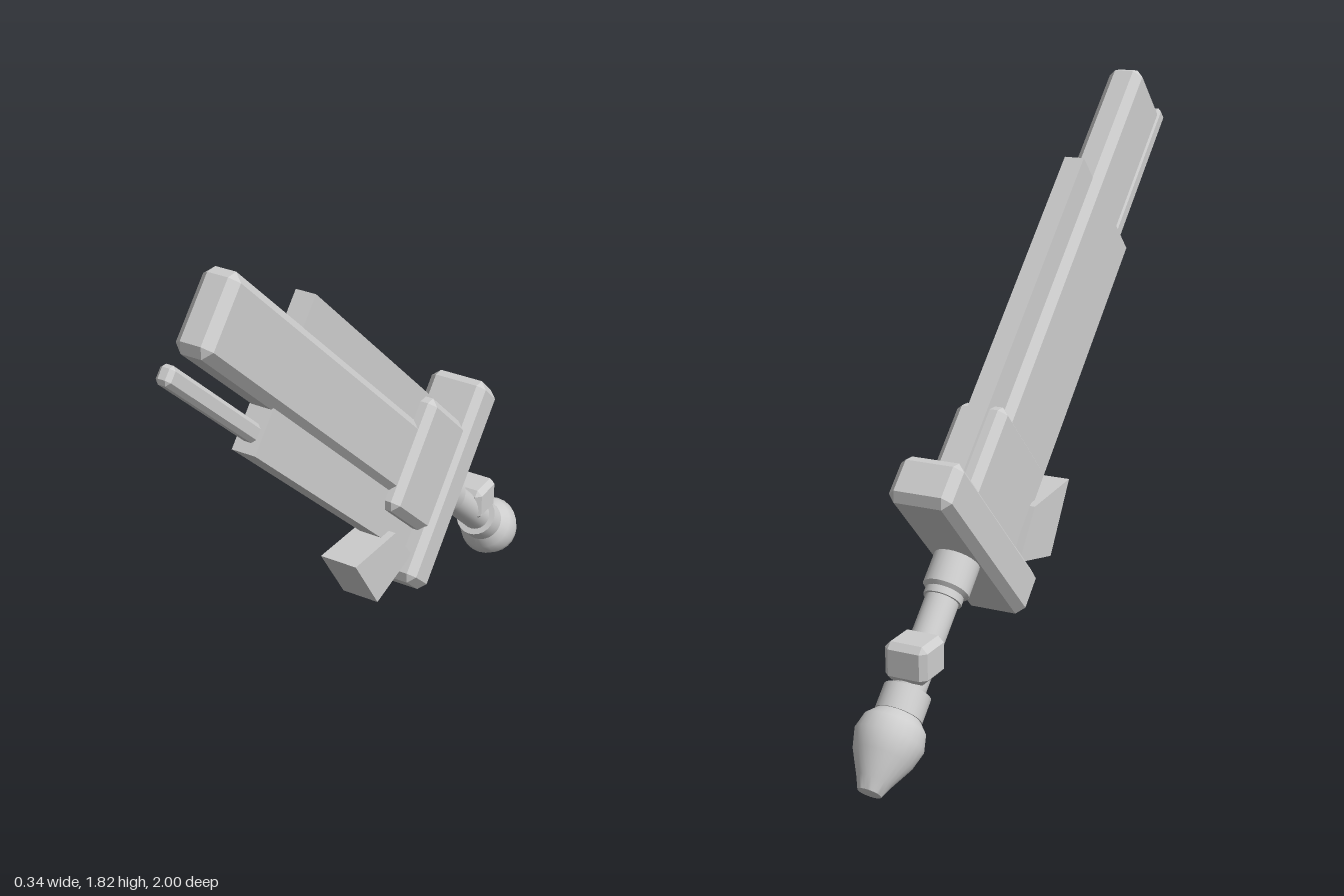
import * as THREE from 'three';
import { toCreasedNormals } from 'three/addons/utils/BufferGeometryUtils.js';
import { ConvexGeometry } from 'three/addons/geometries/ConvexGeometry.js';

const AXIS_X = 0.02;   // sword centre line in the tilted frame
const AXIS_Z = -0.705;

export function createModel() {
  const model = new THREE.Group();
  model.name = 'sword';
  const steel = new THREE.MeshStandardMaterial({ color: 0xcccccc });
  steel.name = 'light grey';

  // Upright sword, tipped forward and turned slightly
  const sword = new THREE.Group();
  sword.name = 'tiltedSword';
  sword.rotation.set(0.803, 0.105, 0, 'YXZ');
  model.add(sword);

  const add = (name, geometry) => {
    const mesh = new THREE.Mesh(geometry, steel);
    mesh.name = name;
    sword.add(mesh);
    return mesh;
  };

  // Box with every edge chamfered by c
  const chamferBox = (w, h, d, c) => {
    const points = [];
    for (const sx of [-1, 1]) for (const sy of [-1, 1]) for (const sz of [-1, 1]) {
      for (let k = 0; k < 3; k++) {
        points.push(new THREE.Vector3(
          sx * (w / 2 - (k === 0 ? 0 : c)),
          sy * (h / 2 - (k === 1 ? 0 : c)),
          sz * (d / 2 - (k === 2 ? 0 : c))));
      }
    }
    return new ConvexGeometry(points);
  };

  // Part given by width, length range and depth range
  const block = (name, width, y0, y1, z0, z1, chamfer) => {
    const h = y1 - y0, d = z1 - z0;
    const geometry = chamfer
      ? chamferBox(width, h, d, chamfer)
      : new THREE.BoxGeometry(width, h, d);
    const mesh = add(name, geometry);
    mesh.position.set(AXIS_X, (y0 + y1) / 2, (z0 + z1) / 2);
    return mesh;
  };

  // Blade
  block('mainBlade', 0.115, 0.1, 1.793, -0.82, -0.578, 0.026);
  block('backPlank', 0.065, 0.1, 1.336, -0.918, -0.8);
  block('frontPlank', 0.075, 0.1, 1.336, -0.6, -0.443);
  block('thinRod', 0.046, 1.2, 1.858, -0.531, -0.475, 0.012);

  // Guard and the collar above it
  block('collar', 0.165, 0.1, 0.452, -0.905, -0.525, 0.024);
  block('guard', 0.2, 0.028, 0.178, -1.058, -0.355, 0.025);

  // Wedge in front of the guard, outlined in the side plane
  const outline = [[0.532, -0.316], [0.344, -0.475], [0.167, -0.446], [0.288, -0.256]];
  const wedge = [];
  for (const x of [-0.062, 0.062]) {
    for (const [y, z] of outline) wedge.push(new THREE.Vector3(x, y, z));
  }
  add('wedge', new ConvexGeometry(wedge)).position.x = AXIS_X;

  // Turned handle parts, profiles run upwards as [radius, height]
  const turned = (name, profile, crease) => {
    const lathe = new THREE.LatheGeometry(profile.map(([r, y]) => new THREE.Vector2(r, y)), 24);
    add(name, toCreasedNormals(lathe, crease)).position.set(AXIS_X, 0, AXIS_Z);
  };
  turned('grip', [[0.05, -0.43], [0.05, 0.05]], 0.5);
  turned('upperRing', [[0, -0.1], [0.058, -0.1], [0.058, -0.078], [0.07, -0.068], [0.07, 0.04]], 0.5);
  turned('lowerRing', [[0, -0.462], [0.07, -0.462], [0.07, -0.388], [0, -0.388]], 0.5);
  turned('pommel', [[0, -0.697], [0.035, -0.693], [0.052, -0.657], [0.088, -0.59],
    [0.103, -0.535], [0.092, -0.49], [0.062, -0.458]], 0.8);

  // Small level block behind the grip
  const lug = add('gripLug', chamferBox(0.135, 0.115, 0.13, 0.018));
  lug.position.set(AXIS_X - 0.01, -0.303, -0.756);
  lug.rotation.x = -sword.rotation.x;

  return model;
}
